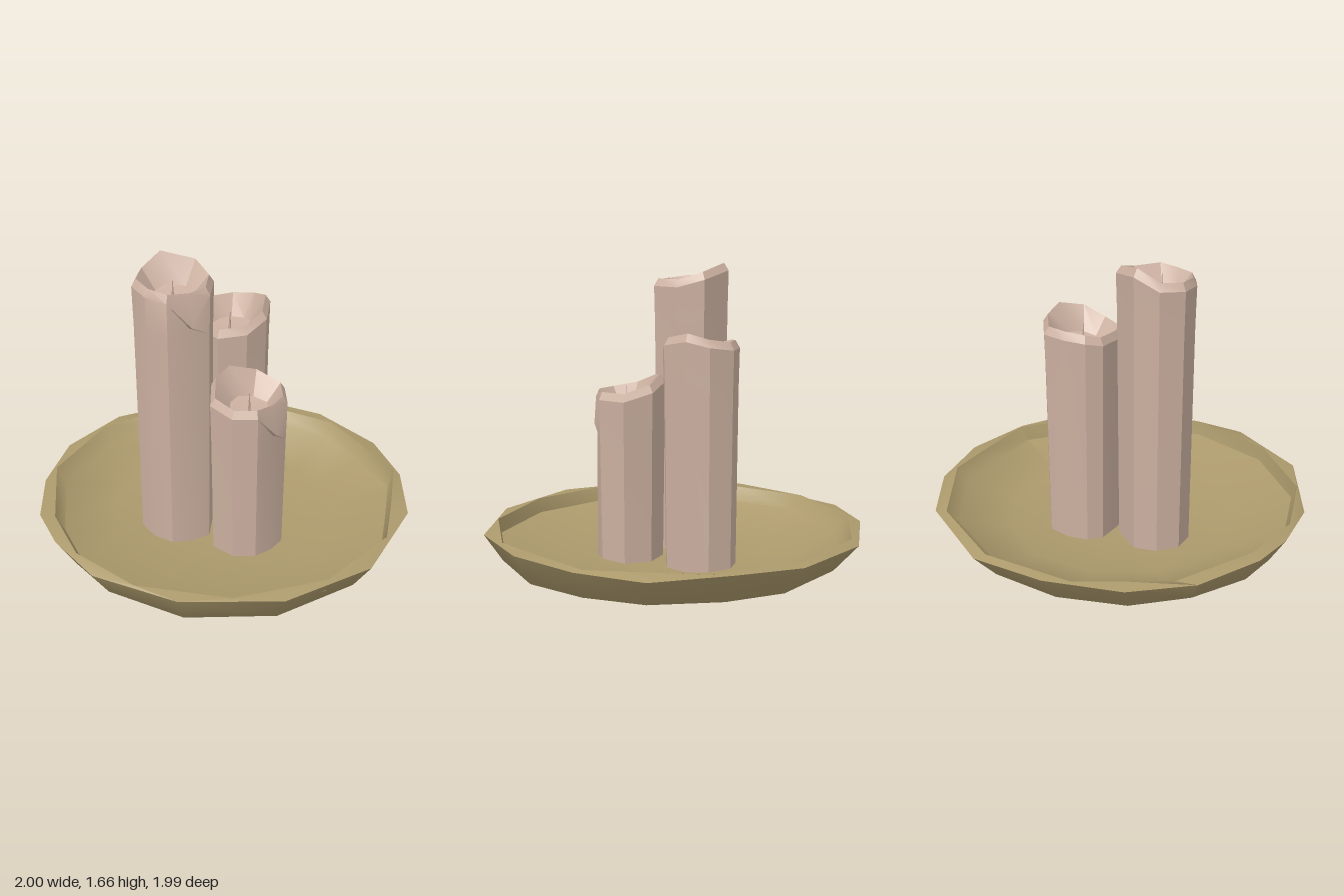
import * as THREE from 'three';
import { toCreasedNormals } from 'three/addons/utils/BufferGeometryUtils.js';

// Skin a list of equal-length loops (clockwise from above) and fan-close both ends.
function loft(loops, startCap, endCap) {
  const pos = [];
  const tri = (...pts) => pts.forEach((p) => pos.push(...p));
  const n = loops[0].length;
  for (let i = 0; i < n; i++) {
    const j = (i + 1) % n;
    for (let k = 0; k < loops.length - 1; k++) {
      const [a, b, c, d] = [loops[k][i], loops[k][j], loops[k + 1][j], loops[k + 1][i]];
      tri(a, d, c);
      tri(a, c, b);
    }
    const last = loops[loops.length - 1];
    tri(startCap, loops[0][i], loops[0][j]);
    tri(endCap, last[j], last[i]);
  }
  const g = new THREE.BufferGeometry();
  g.setAttribute('position', new THREE.Float32BufferAttribute(pos, 3));
  return g;
}

const wax = new THREE.MeshStandardMaterial({ color: 0xcbb0a0 });
wax.name = 'pale wax';
const brass = new THREE.MeshStandardMaterial({ color: 0xac9a6c });
brass.name = 'dull brass';

function mesh(name, geometry, material) {
  const m = new THREE.Mesh(geometry, material);
  m.name = name;
  return m;
}

// Shallow, hand-beaten dish; the inner lip is a different polygon from the outer rim
function makeDish() {
  const rim = [
    [-0.14, -1], [0.22, -0.97], [0.61, -0.81], [0.85, -0.53], [1, -0.17],
    [0.96, 0.34], [0.66, 0.77], [0.19, 0.99], [-0.3, 0.95], [-0.6, 0.79],
    [-0.79, 0.62], [-0.95, 0.29], [-1, -0.07], [-0.88, -0.46], [-0.62, -0.79],
  ];
  const lip = [
    [-0.17, -0.94], [0.32, -0.9], [0.56, -0.73], [0.81, -0.54], [0.89, -0.23],
    [0.96, 0.08], [0.8, 0.54], [0.42, 0.86], [-0.06, 0.96], [-0.45, 0.84],
    [-0.71, 0.6], [-0.94, 0.18], [-0.92, -0.07], [-0.9, -0.32], [-0.62, -0.73],
  ];
  const ring = (outline, s, y, dx = 0, dz = 0, wave = 0) =>
    outline.map(([x, z], i) => [x * s + dx, y + wave * Math.sin(i * 2.1), z * s + dz]);
  const loops = [
    ring(rim, 0.56, 0.003, 0.01, 0.06),
    ring(rim, 0.89, 0.12, 0.01, 0.02),
    ring(rim, 1, 0.277, 0, 0, 0.012),
    ring(lip, 1, 0.288),
    ring(lip, 0.955, 0.21, 0.02, 0.02),
    ring(lip, 0.65, 0.13, 0.01, 0.01),
    ring(lip, 0.3, 0.11),
  ];
  const g = loft(loops, [0.01, 0, 0.04], [0, 0.105, 0]);
  return mesh('dish', toCreasedNormals(g, 0.8), brass);
}

// Candle: tapered wax column, chamfered ragged crest, melted hollow and wick.
// A crest point is x, z, height and how far the wax has run down there as a drip.
function makeCandle(name, crest) {
  const n = crest.length;
  const [cx, cz, top] = [0, 1, 2].map((k) => crest.reduce((s, p) => s + p[k], 0) / n);
  const ring = (scale, height) =>
    crest.map(([x, z, y, sag = 0]) => {
      const s = scale(sag);
      return [cx + (x - cx) * s, height(y, sag), cz + (z - cz) * s];
    });
  const loops = [
    ring(() => 0.93, () => 0.1),
    ring((sag) => (sag ? 0.88 : 0.975), (y, sag) => (sag ? y - 0.05 - sag : y - 0.25)),
    ring(() => 1, (y, sag) => y - 0.04 - sag),
    ring(() => 0.88, (y) => y),
    ring(() => 0.5, (y) => top - 0.1 + (y - top) * 0.3),
  ];
  const group = new THREE.Group();
  group.name = name;
  const body = loft(loops, [cx, 0.1, cz], [cx, top - 0.12, cz]);
  group.add(mesh('waxColumn', toCreasedNormals(body, 0.5), wax));

  const wick = mesh('wick', new THREE.ConeGeometry(0.008, 0.12, 4), wax);
  wick.position.set(cx, top - 0.06, cz);
  group.add(wick);
  return group;
}

export function createModel() {
  const model = new THREE.Group();
  model.name = 'candleDish';
  model.add(makeDish());

  model.add(makeCandle('tallCandle', [
    [-0.15, -0.04, 1.62], [-0.03, 0.04, 1.58], [0.02, 0.2, 1.58],
    [-0.04, 0.29, 1.57, 0.14], [-0.14, 0.36, 1.57], [-0.26, 0.35, 1.58],
    [-0.37, 0.28, 1.59], [-0.4, 0.15, 1.6], [-0.34, 0.03, 1.66],
  ]));
  model.add(makeCandle('shortCandle', [
    [0.17, -0.06, 1.05], [0.33, -0.04, 1.01], [0.4, 0.1, 1.01],
    [0.38, 0.2, 1, 0.13], [0.32, 0.3, 1], [0.2, 0.35, 1],
    [0.06, 0.3, 1.02], [0.01, 0.17, 1.07], [0.04, 0.04, 1.09],
  ]));
  model.add(makeCandle('middleCandle', [
    [-0.11, -0.4, 1.29], [0.03, -0.4, 1.31], [0.13, -0.33, 1.34],
    [0.17, -0.18, 1.31], [0.11, -0.06, 1.26], [-0.02, 0.02, 1.25],
    [-0.1, -0.02, 1.25], [-0.22, -0.11, 1.26], [-0.24, -0.2, 1.28],
    [-0.2, -0.31, 1.29],
  ]));
  return model;
}
